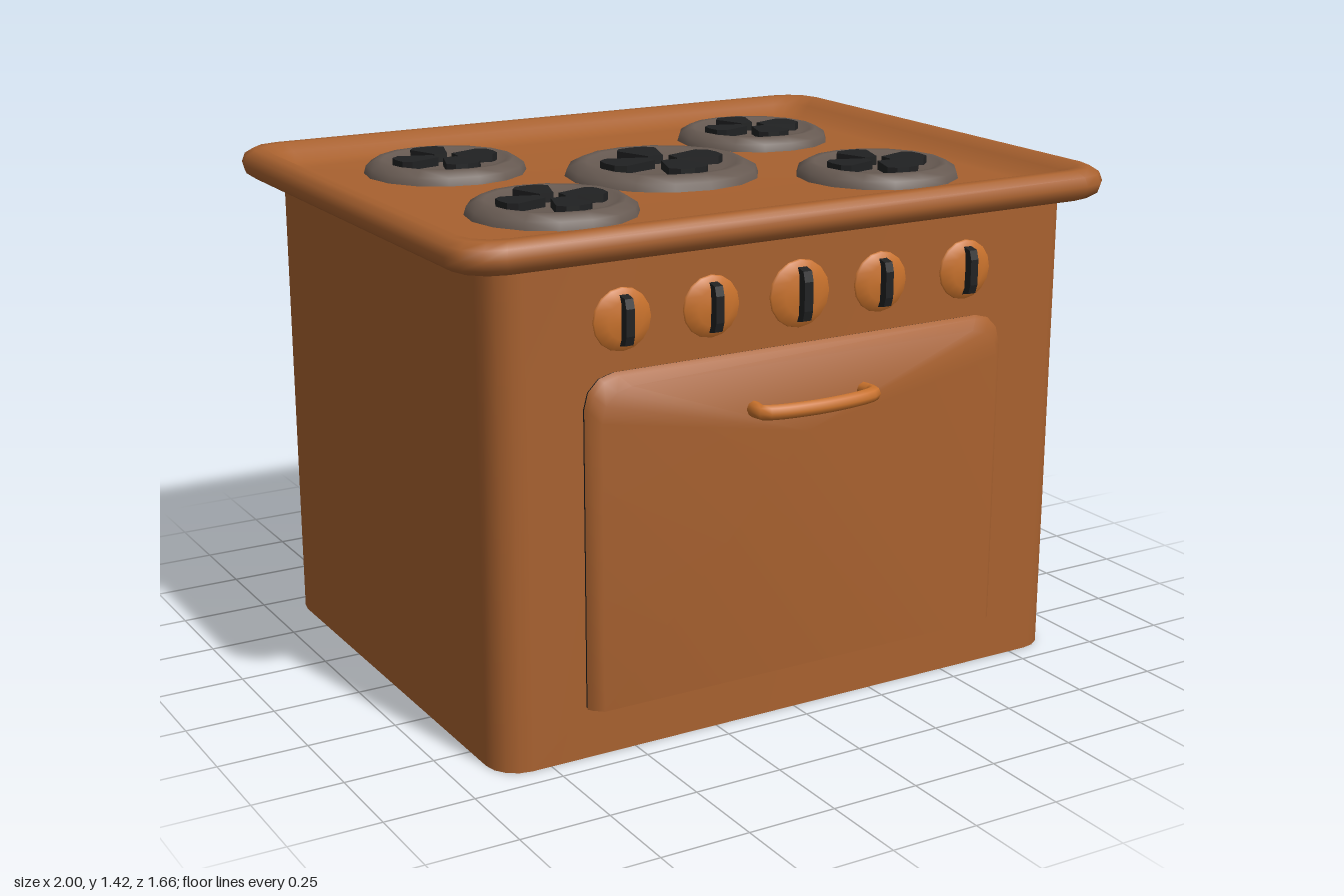
import * as THREE from 'three';
import { toCreasedNormals } from 'three/addons/utils/BufferGeometryUtils.js';

const mat = (name, color) => new THREE.MeshStandardMaterial({ name, color });

// Skin a stack of equal-length point rings (counter-clockwise seen from the last ring), capped at both ends.
function loft(rings, crease) {
  const n = rings[0].length, pos = [], idx = [];
  rings.forEach(r => r.forEach(p => pos.push(p.x, p.y, p.z)));
  for (let k = 0; k < rings.length - 1; k++) {
    for (let i = 0; i < n; i++) {
      const a = k * n + i, b = k * n + (i + 1) % n;
      idx.push(a, b, b + n, a, b + n, a + n);
    }
  }
  [0, rings.length - 1].forEach((k, end) => {
    const c = new THREE.Vector3();
    rings[k].forEach(p => c.addScaledVector(p, 1 / n));
    const ci = pos.length / 3;
    pos.push(c.x, c.y, c.z);
    for (let i = 0; i < n; i++) {
      const a = k * n + i, b = k * n + (i + 1) % n;
      end ? idx.push(ci, a, b) : idx.push(ci, b, a);
    }
  });
  const g = new THREE.BufferGeometry();
  g.setAttribute('position', new THREE.Float32BufferAttribute(pos, 3));
  g.setIndex(idx);
  return toCreasedNormals(g, crease);
}

// Horizontal rounded rectangle at height y
function roundRect(hx, hz, r, y, steps) {
  const pts = [];
  [[1, 1], [-1, 1], [-1, -1], [1, -1]].forEach(([sx, sz], q) => {
    for (let i = 0; i <= steps; i++) {
      const a = (q + i / steps) * Math.PI / 2;
      pts.push(new THREE.Vector3(sx * (hx - r) + r * Math.cos(a), y, -(sz * (hz - r) + r * Math.sin(a))));
    }
  });
  return pts;
}

// Door outline: square at the bottom, rounded at the top corners
function doorRing(inset, z) {
  const hx = 0.65 - inset, top = 1.04 - inset, r = 0.085;
  const pts = [new THREE.Vector3(-hx, 0.143, z), new THREE.Vector3(hx, 0.143, z)];
  [1, -1].forEach((s, q) => {
    for (let i = 0; i <= 3; i++) {
      const a = (q + i / 3) * Math.PI / 2;
      pts.push(new THREE.Vector3(s * (hx - r) + r * Math.cos(a), top - r + r * Math.sin(a), z));
    }
  });
  return pts;
}

export function createModel() {
  const brown = mat('brown enamel', 0xa8612f);
  const orange = mat('orange metal', 0xc9722c);
  const grey = mat('burner grey', 0x675a52);
  const black = mat('black iron', 0x202122);
  const model = new THREE.Group();
  model.name = 'stove';
  const add = (name, geo, material, parent = model) => {
    const m = new THREE.Mesh(geo, material);
    m.name = name;
    parent.add(m);
    return m;
  };

  // Body
  const body = [0, 1.345].map(y => roundRect(0.895, 0.715, 0.09, y, 4));
  add('body', loft(body, 0.8), brown).position.z = -0.029;

  // Cooktop with rolled rim and sunken floor: [inset, height]
  const rim = [[0.07, 1.33], [0.03, 1.333], [0.006, 1.35], [0, 1.375], [0.008, 1.4],
    [0.03, 1.416], [0.055, 1.416], [0.085, 1.395], [0.12, 1.368], [0.17, 1.362]];
  const topRings = rim.map(([d, y]) => roundRect(1 - d, 0.797 - d, 0.115 - d * 0.4, y, 3));
  add('cooktop', loft(topRings, 1.2), brown).position.z = -0.031;

  // Burners, each with four tapered grate pieces
  const bowl = new THREE.LatheGeometry([[0.233, 0], [0.226, 0.024], [0.198, 0.041], [0.18, 0.04],
    [0.15, 0.026], [0, 0.022]].map(p => new THREE.Vector2(...p)), 16);
  const petalShape = new THREE.Shape([[0.03, -0.02], [0.06, -0.03], [0.125, -0.053], [0.148, -0.035],
    [0.153, 0], [0.148, 0.035], [0.125, 0.053], [0.06, 0.03], [0.03, 0.02]].map(p => new THREE.Vector2(...p)));
  const petal = new THREE.ExtrudeGeometry(petalShape, { depth: 0.03, bevelEnabled: false });
  petal.rotateX(-Math.PI / 2);
  [[-0.51, -0.395, 1], [0.53, -0.395, 1], [-0.51, 0.27, 1], [0.53, 0.27, 1], [0.008, -0.05, 1.2]].forEach(([x, z, s]) => {
    const burner = new THREE.Group();
    burner.name = 'burner';
    burner.position.set(x, 1.36, z);
    burner.scale.set(s, 1, s);
    add('burnerBowl', bowl, grey, burner);
    for (let i = 0; i < 4; i++) {
      const p = add('burnerGrate', petal, black, burner);
      p.position.y = 0.018;
      p.rotation.y = i * Math.PI / 2;
    }
    model.add(burner);
  });

  // Oven door with dark seal behind it
  add('doorSeal', loft([doorRing(0.004, 0.68), doorRing(0.004, 0.7)], 0.6), black);
  add('door', loft([doorRing(0, 0.699), doorRing(0.008, 0.712), doorRing(0.032, 0.734)], 0.9), brown);

  // Door handle: bowed bar
  const bow = new THREE.CatmullRomCurve3([[-0.17, 0.72], [-0.175, 0.775], [-0.14, 0.793], [0, 0.808],
    [0.14, 0.793], [0.175, 0.775], [0.17, 0.72]].map(([x, z]) => new THREE.Vector3(x, 0.895, z)));
  add('doorHandle', new THREE.TubeGeometry(bow, 24, 0.021, 8), orange);

  // Control knobs with dark grip bars
  const knob = new THREE.LatheGeometry([[0.083, 0], [0.081, 0.008], [0.05, 0.022], [0, 0.024]]
    .map(p => new THREE.Vector2(...p)), 16);
  knob.rotateX(Math.PI / 2);
  const gripShape = new THREE.Shape([[0, -0.066], [0.026, -0.06], [0.034, -0.035], [0.034, 0.035],
    [0.026, 0.06], [0, 0.066]].map(p => new THREE.Vector2(...p)));
  const grip = new THREE.ExtrudeGeometry(gripShape, { depth: 0.024, bevelEnabled: false });
  grip.translate(0, 0, -0.012).rotateY(-Math.PI / 2);
  [[-0.535, 1], [-0.275, 1], [-0.006, 1.11], [0.25, 1], [0.53, 1]].forEach(([x, s]) => {
    const g = new THREE.Group();
    g.name = 'controlKnob';
    g.position.set(x, 1.17, 0.685);
    g.scale.set(s, s, 1);
    add('knobDial', knob, orange, g);
    add('knobGrip', grip, black, g).position.z = 0.014;
    model.add(g);
  });

  return model;
}
